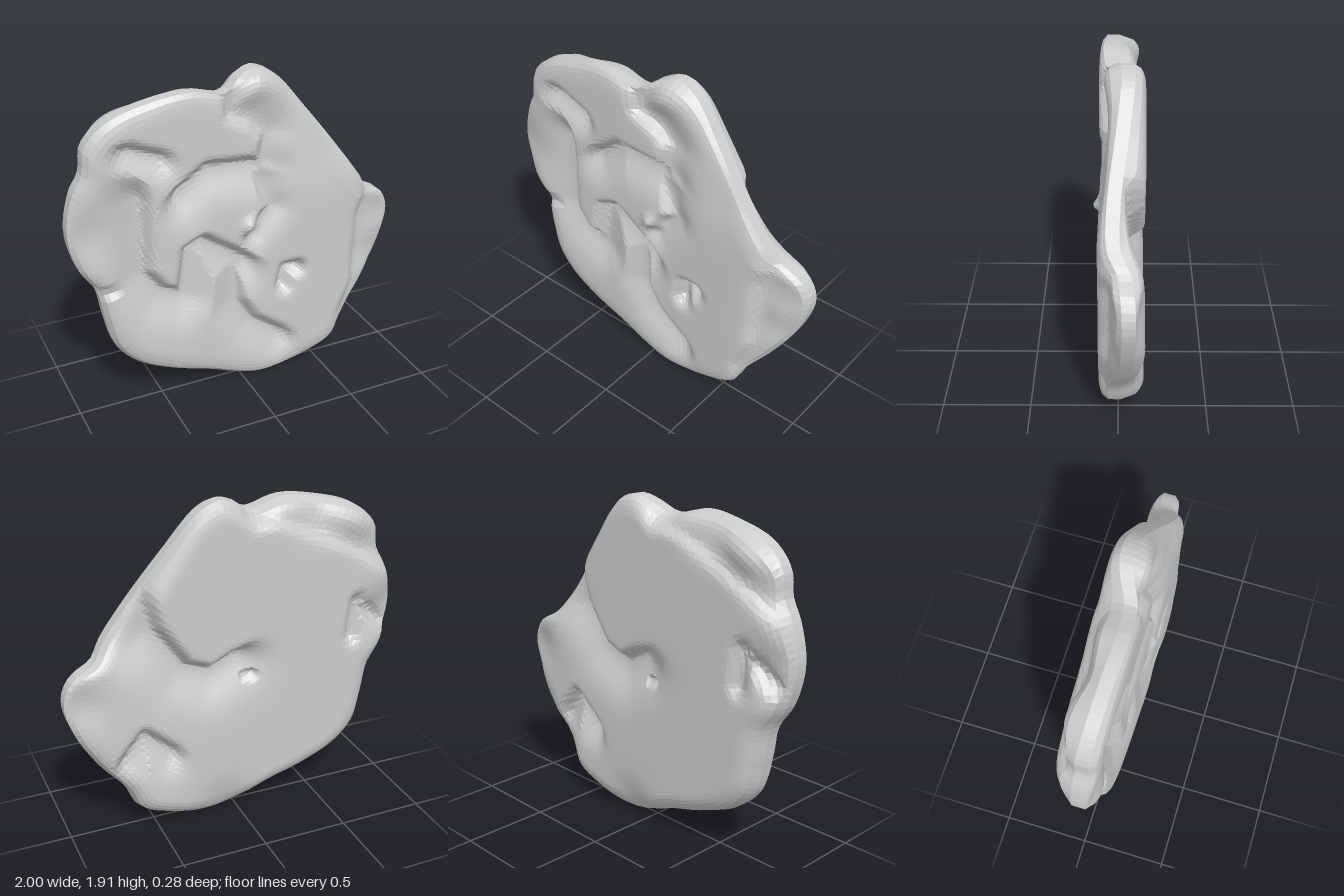
import * as THREE from 'three';

const { clamp, lerp, smoothstep } = THREE.MathUtils;
const SEGMENTS = 150, RINGS = 36, CENTRE = [0, 0.95];

// Silhouette, clockwise from the top: x, y and the depth of the rim's middle
const OUTLINE = [
  [0.1, 1.91, -0.05], [0.22, 1.86, -0.05], [0.4, 1.65, -0.02], [0.6, 1.39, 0.02], [0.75, 1.19, 0.02],
  [0.82, 1.1, -0.03], [0.95, 1.02, -0.05], [1, 0.9, -0.055], [0.95, 0.7, -0.05], [0.82, 0.47, -0.03],
  [0.67, 0.27, 0.02], [0.6, 0.13, 0.02], [0.45, 0.06, 0.02], [0.14, 0, 0.02], [-0.05, 0.05, 0.03],
  [-0.2, 0.11, 0.03], [-0.45, 0.19, 0.02], [-0.65, 0.29, 0.01], [-0.77, 0.42, 0], [-0.82, 0.6, 0],
  [-0.86, 0.8, 0], [-0.95, 0.95, 0.01], [-1, 1.17, 0.015], [-0.96, 1.38, 0.015], [-0.9, 1.5, 0.02],
  [-0.88, 1.64, 0.02], [-0.76, 1.76, 0.03], [-0.5, 1.84, 0.04], [-0.3, 1.86, 0.05], [-0.1, 1.82, 0.03], [0, 1.88, -0.02],
];

// Petal edges: drop, reach of the hollow on the low side, then a path with the low side on its left
const FRONT_EDGES = [
  [0.08, 0.17, [0, 0.82], [-0.25, 0.99], [-0.34, 0.95], [-0.38, 0.68], [-0.5, 0.73], [-0.6, 0.86], [-0.6, 1.3]],
  [0.05, 0.06, [-0.88, 0.77], [-0.74, 0.8], [-0.62, 0.88]],
  [0.075, 0.15, [0.05, 1.4], [-0.22, 1.42], [-0.38, 1.31]],
  [0.06, 0.12, [-0.09, 1.84], [-0.08, 1.71], [0.05, 1.65], [0.14, 1.55], [0.11, 1.42]],
  [0.06, 0.1, [0.06, 1.34], [0.17, 1.12], [0.05, 1.0]],
  [0.07, 0.14, [0.24, 0.26], [0.05, 0.4], [-0.04, 0.55], [-0.05, 0.78]],
  [0.06, 0.1, [-0.48, 1.53], [-0.66, 1.6]],
  [0.04, 0.09, [0.82, 1.1], [0.76, 0.95], [0.74, 0.5], [0.66, 0.3]],
  [0.07, 0.06, [0.33, 0.7], [0.26, 0.7], [0.24, 0.6]],
];
const BACK_EDGES = [
  [0.09, 0.18, [0.55, 1.44], [0.49, 1.24], [0.32, 1.0], [0.17, 0.94], [0.03, 1.01]],
  [0.07, 0.13, [0.68, 0.5], [0.57, 0.63], [0.41, 0.49]],
  [0.04, 0.1, [-0.9, 1.46], [-0.6, 1.62], [-0.3, 1.76], [-0.08, 1.82]],
  [0.05, 0.06, [-0.7, 1.02], [-0.72, 1.22]],
  [0.05, 0.05, [-0.92, 1.05], [-0.8, 1.16]],
  [0.07, 0.05, [-0.03, 0.88], [-0.08, 0.89]],
];

// Broad swellings and hollows: x, y, radius, change in thickness
const FRONT_SWELLS = [
  [0.3, 1.72, 0.24, -0.05], [0.5, 1.45, 0.2, -0.03], [0.2, 1.32, 0.11, -0.03],
  [0.94, 0.93, 0.16, -0.09], [0.92, 0.66, 0.16, -0.08], [-0.95, 1.15, 0.18, -0.04],
  [0.03, 1.03, 0.05, 0.05],
];
const BACK_SWELLS = [
  [0.95, 0.88, 0.16, -0.05], [0.66, 1.2, 0.16, -0.04], [-0.5, 1.84, 0.15, -0.07],
  [-0.88, 1.6, 0.13, -0.05], [-0.96, 1.15, 0.15, -0.07], [0.1, 0.03, 0.16, -0.05],
];

// Depth below the petal: steep on one side of the edge, a long slope on the other
function drop(x, y, [depth, reach, ...path]) {
  let best = Infinity, distance = 0, side = 0;
  for (let i = 1; i < path.length; i++) {
    const [ax, ay] = path[i - 1];
    const dx = path[i][0] - ax, dy = path[i][1] - ay, length = Math.hypot(dx, dy);
    const t = clamp(((x - ax) * dx + (y - ay) * dy) / (length * length), 0, 1);
    const d = Math.hypot(x - ax - dx * t, y - ay - dy * t);
    const across = (dx * (y - ay) - dy * (x - ax)) / length;
    const score = d - 0.001 * Math.abs(across);
    if (score < best) {
      best = score;
      distance = d;
      side = across / Math.max(d, 1e-6);
    }
  }
  const width = lerp(0.04, reach, smoothstep(side, -1, 1));
  return depth * Math.exp(-((distance / width) ** 2));
}

function relief(x, y, base, edges, swells) {
  let h = base;
  for (const [sx, sy, r, amount] of swells) h += amount * Math.exp(-((x - sx) ** 2 + (y - sy) ** 2) / (r * r));
  return h - Math.max(...edges.map((edge) => drop(x, y, edge)));
}

// One closed skin: rings run from the front centre over the rim to the back centre
function flowerGeometry() {
  const curve = new THREE.CatmullRomCurve3(OUTLINE.map((p) => new THREE.Vector3(...p)), true);
  const rim = curve.getSpacedPoints(SEGMENTS).slice(0, SEGMENTS);
  const positions = [], indices = [];
  const addRing = (t, side) => {
    for (const p of rim) {
      const x = lerp(CENTRE[0], p.x, t), y = lerp(CENTRE[1], p.y, t);
      const inset = Math.min(Math.hypot(p.x - x, p.y - y) / 0.13, 1);
      const round = Math.sqrt(1 - (1 - inset) ** 2);
      const face = side > 0
        ? relief(x, y, 0.11, FRONT_EDGES, FRONT_SWELLS)
        : -relief(x, y, 0.143, BACK_EDGES, BACK_SWELLS);
      positions.push(x, y, lerp(p.z + side * 0.035, face, round));
    }
  };
  for (let i = 0; i <= RINGS; i++) addRing(i / RINGS, 1);
  for (let i = RINGS; i >= 0; i--) addRing(i / RINGS, -1);

  // Split each cell along its flatter diagonal so the petal edges stay clean
  const rows = 2 * RINGS + 2;
  const z = (i) => positions[3 * i + 2];
  for (let r = 0; r < rows - 1; r++) {
    for (let j = 0; j < SEGMENTS; j++) {
      const k = (j + 1) % SEGMENTS;
      const a = r * SEGMENTS + j, b = r * SEGMENTS + k, c = a + SEGMENTS, d = b + SEGMENTS;
      if (r === 0) indices.push(a, d, c);
      else if (r === rows - 2) indices.push(a, b, c);
      else if (Math.abs(z(a) - z(d)) < Math.abs(z(b) - z(c))) indices.push(a, d, c, a, b, d);
      else indices.push(a, b, c, b, d, c);
    }
  }
  const geometry = new THREE.BufferGeometry();
  geometry.setAttribute('position', new THREE.Float32BufferAttribute(positions, 3));
  geometry.setIndex(indices);
  geometry.computeVertexNormals();
  return geometry;
}

export function createModel() {
  const group = new THREE.Group();
  group.name = 'flatFlower';
  const material = new THREE.MeshStandardMaterial({ color: 0xcccccc, flatShading: true });
  const petals = new THREE.Mesh(flowerGeometry(), material);
  petals.name = 'petals';
  group.add(petals);
  return group;
}
